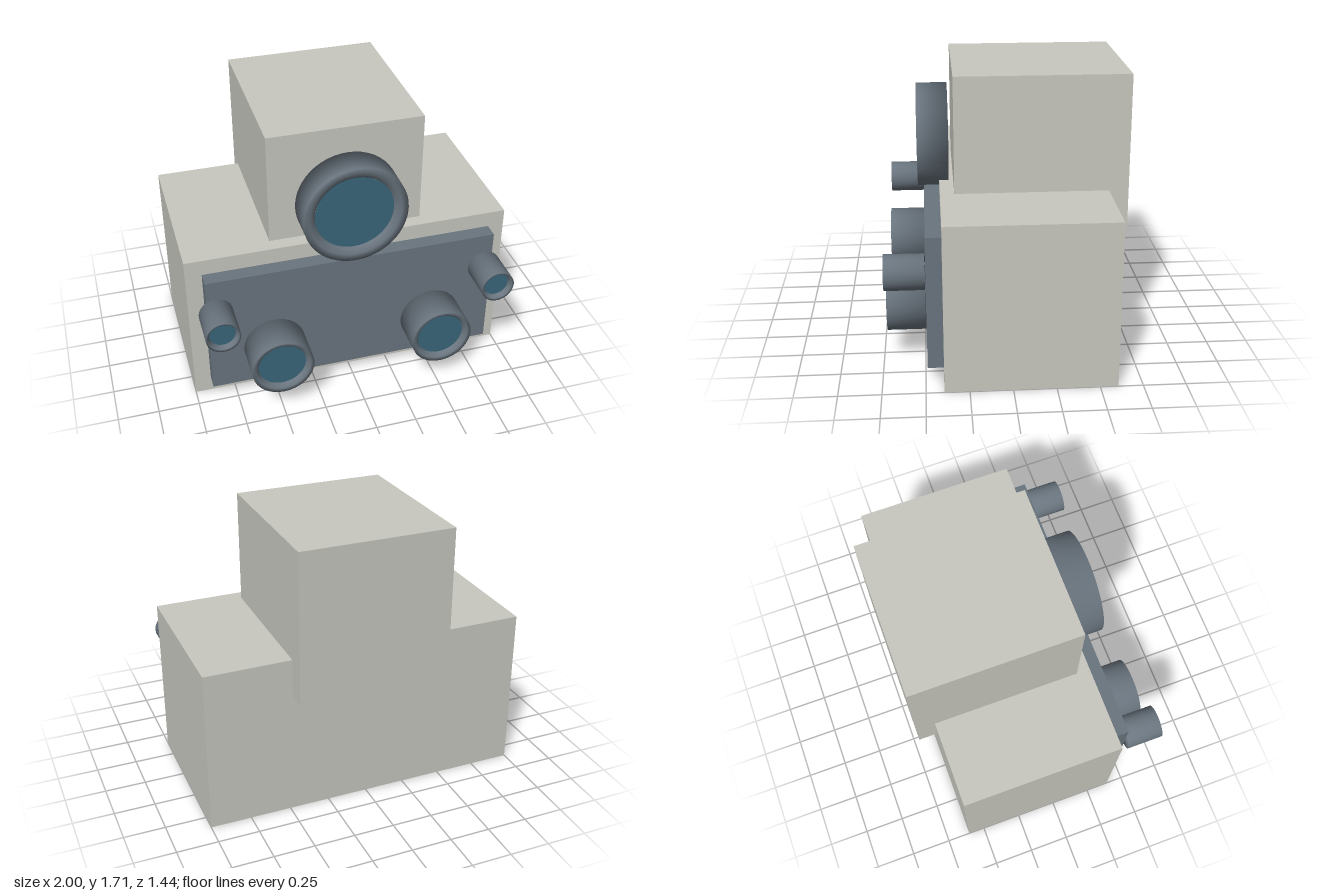
import * as THREE from 'three';

const shellMat = new THREE.MeshStandardMaterial({ color: 0xc8c8c0 });
shellMat.name = 'warm grey shell';
const trimMat = new THREE.MeshStandardMaterial({ color: 0x6a757f });
trimMat.name = 'slate trim';
const glassMat = new THREE.MeshStandardMaterial({ color: 0x3b667a });
glassMat.name = 'blue glass';

// Box given by its lower and upper corners
function box(name, mat, [x0, y0, z0], [x1, y1, z1]) {
  const mesh = new THREE.Mesh(new THREE.BoxGeometry(x1 - x0, y1 - y0, z1 - z0), mat);
  mesh.name = name;
  mesh.position.set((x0 + x1) / 2, (y0 + y1) / 2, (z0 + z1) / 2);
  return mesh;
}

// Round housing with a dished rim and a recessed glass disc, facing +z
function lamp(name, x, y, back, front, radius, glassRadius) {
  const group = new THREE.Group();
  group.name = name;
  const depth = front - back;
  const rim = radius - glassRadius;
  const profile = [
    [0, 0],
    [radius, 0],
    [radius, depth],
    [radius - rim * 0.5, depth - 0.005],
    [glassRadius + rim * 0.12, depth - 0.022],
    [glassRadius, depth - 0.045],
  ].map(([r, h]) => new THREE.Vector2(r, h));
  const housing = new THREE.Mesh(new THREE.LatheGeometry(profile, 48).rotateX(Math.PI / 2), trimMat);
  housing.name = 'housing';
  const glass = new THREE.Mesh(new THREE.CircleGeometry(glassRadius + 0.003, 48), glassMat);
  glass.name = 'glass';
  glass.position.z = depth - 0.035;
  group.add(housing, glass);
  group.position.set(x, y, back);
  return group;
}

export function createModel() {
  const model = new THREE.Group();
  model.name = 'lampBlock';

  // Main block, upper block and front panel
  model.add(
    box('body', shellMat, [-1, 0, -0.605], [1, 1.01, 0.395]),
    box('upperBlock', shellMat, [-0.472, 0.773, -0.722], [0.472, 1.71, 0.31]),
    box('frontPanel', trimMat, [-0.9, 0.105, 0.39], [0.9, 0.91, 0.488]),
  );

  // Large central lens and the mirrored lamps on the panel
  model.add(lamp('mainLens', 0, 1.243, 0.337, 0.525, 0.317, 0.236));
  for (const [side, s] of [['left', 1], ['right', -1]]) {
    model.add(
      lamp(side + 'LowerLamp', s * 0.503, 0.368, 0.493, 0.722, 0.19, 0.144),
      lamp(side + 'UpperLamp', s * 0.848, 0.687, 0.493, 0.722, 0.103, 0.077),
    );
  }
  return model;
}
